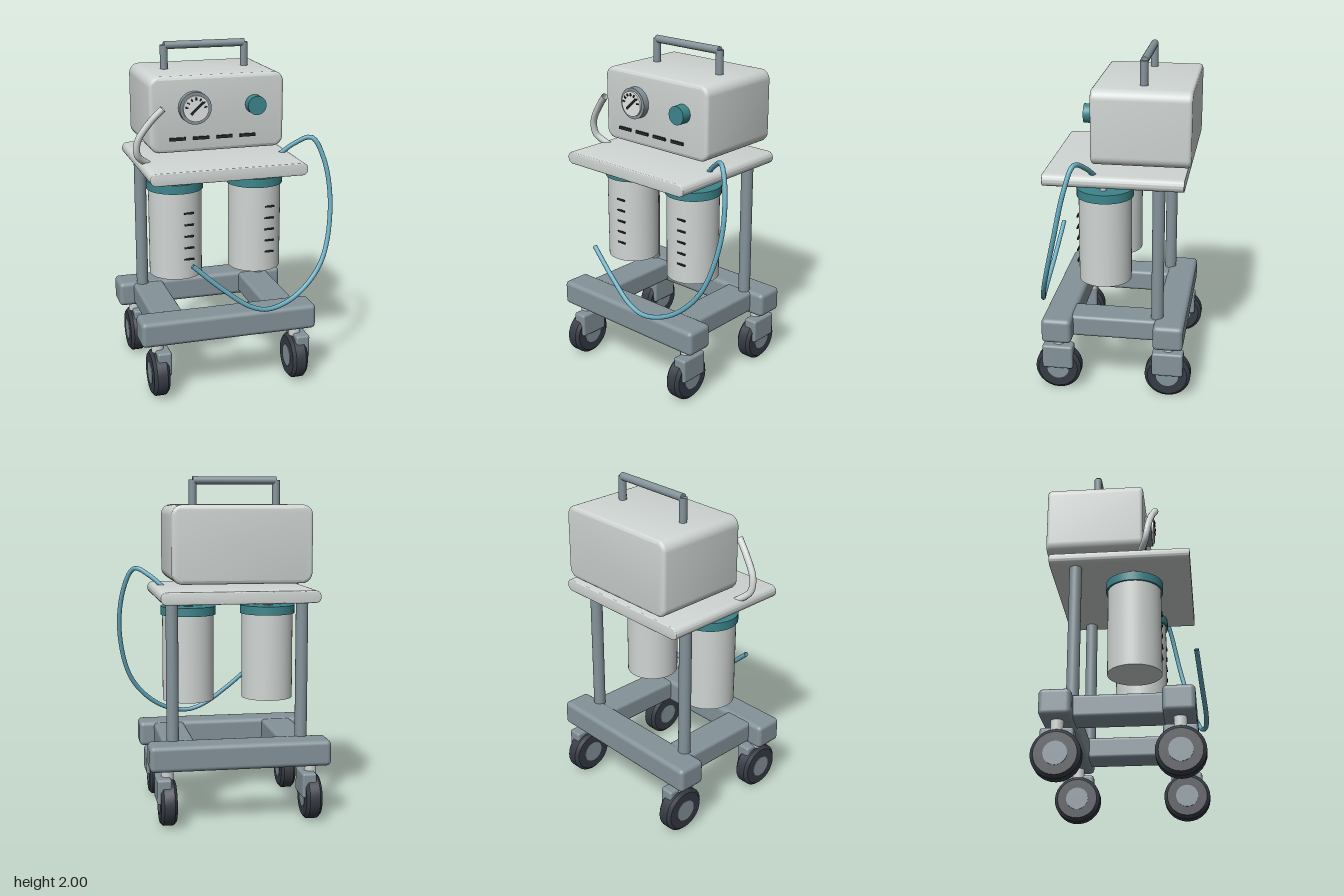
import * as THREE from 'three';
import { toCreasedNormals } from 'three/addons/utils/BufferGeometryUtils.js';
import { RoundedBoxGeometry } from 'three/addons/geometries/RoundedBoxGeometry.js';

const mat = (name, color) => {
  const m = new THREE.MeshStandardMaterial({ color });
  m.name = name;
  return m;
};

export function createModel() {
  const shell = mat('light grey shell', 0xd0d6d4);
  const frame = mat('slate frame', 0x84939a);
  const teal = mat('teal', 0x3c858b);
  const blue = mat('blue hose', 0x64a9bd);
  const rubber = mat('dark rubber', 0x363c45);
  const mark = mat('black marking', 0x22272b);
  const dial = mat('dial white', 0xe4e8e6);

  const root = new THREE.Group();
  const CX = -0.067; // the cart's own centre line

  const add = (name, geo, material, x = 0, y = 0, z = 0, parent = root) => {
    const m = new THREE.Mesh(geo, material);
    m.name = name;
    m.position.set(x, y, z);
    parent.add(m);
    return m;
  };
  const box = (w, h, d) => new THREE.BoxGeometry(w, h, d);
  const cyl = (r, h, n = 32) => new THREE.CylinderGeometry(r, r, h, n);
  const cylZ = (r, h) => cyl(r, h, 40).rotateX(Math.PI / 2);
  const tube = (pts, r, n) => new THREE.TubeGeometry(
    new THREE.CatmullRomCurve3(pts.map(p => new THREE.Vector3(...p))), n, r, 12);

  // Rounded rectangle in x/y, extruded along z with softened front and back edges
  const slab = (w, h, d, r, b) => {
    const x = w / 2 - b, y = h / 2 - b, q = r - b, s = new THREE.Shape();
    s.absarc(x - q, y - q, q, 0, Math.PI / 2);
    s.absarc(-x + q, y - q, q, Math.PI / 2, Math.PI);
    s.absarc(-x + q, -y + q, q, Math.PI, Math.PI * 1.5);
    s.absarc(x - q, -y + q, q, Math.PI * 1.5, Math.PI * 2);
    s.closePath();
    const g = new THREE.ExtrudeGeometry(s, {
      depth: d - 2 * b, bevelEnabled: true, bevelSize: b, bevelThickness: b,
      bevelSegments: 3, curveSegments: 6,
    });
    g.translate(0, 0, -d / 2 + b);
    return toCreasedNormals(g, 0.6);
  };

  // Pump housing and shelf
  add('pumpHousing', slab(0.8, 0.44, 0.57, 0.06, 0.02), shell, CX, 1.62, -0.155);
  add('shelf', slab(0.92, 0.072, 0.81, 0.034, 0.006), shell, CX, 1.32, -0.005);

  // Carry handle
  for (const x of [-0.312, 0.178]) {
    add('handlePost', cyl(0.023, 0.16, 20), frame, x, 1.9, -0.155);
  }
  add('handleBar', cyl(0.023, 0.49, 20).rotateZ(Math.PI / 2), frame, CX, 1.977, -0.155);

  // Pressure gauge
  const gauge = new THREE.Group();
  gauge.name = 'gauge';
  gauge.position.set(-0.207, 1.66, 0.13);
  root.add(gauge);
  add('gaugeCase', cylZ(0.093, 0.04), frame, 0, 0, 0.02, gauge);
  add('gaugeDial', cylZ(0.075, 0.014), dial, 0, 0, 0.045, gauge);
  add('needle', box(0.1, 0.013, 0.006), mark, 0.005, 0.002, 0.056, gauge).rotation.z = 0.75;
  for (let i = 0; i < 7; i++) {
    const a = Math.PI * (0.05 + 0.15 * i);
    const t = add('gaugeTick', box(0.016, 0.008, 0.006), mark,
      Math.cos(a) * 0.056, Math.sin(a) * 0.056, 0.055, gauge);
    t.rotation.z = a;
  }

  // Control knob and vent slots
  add('knob', cylZ(0.055, 0.06), teal, 0.153, 1.66, 0.16);
  for (const x of [-0.305, -0.167, -0.028, 0.111]) {
    add('ventSlot', box(0.095, 0.018, 0.009), mark, x, 1.48, 0.1345);
  }

  // Undercarriage: cross bars, side rails and rear posts
  for (const z of [0.322, -0.338]) {
    add('crossBar', new RoundedBoxGeometry(1.06, 0.152, 0.178, 3, 0.027), frame, CX, 0.406, z);
  }
  for (const s of [-1, 1]) {
    add('sideRail', new RoundedBoxGeometry(0.19, 0.13, 0.6, 3, 0.02), frame, CX + s * 0.345, 0.41, -0.008);
    add('post', cyl(0.036, 0.85, 24), frame, CX + s * 0.382, 0.875, -0.262);
  }

  // Casters: chamfered tyre, hub, side bracket and swivel stem
  const tyreProfile = [[0.06, -0.047], [0.118, -0.047], [0.137, -0.03],
    [0.137, 0.03], [0.118, 0.047], [0.06, 0.047]].map(p => new THREE.Vector2(...p));
  const tyre = toCreasedNormals(new THREE.LatheGeometry(tyreProfile, 28), 0.5).rotateZ(Math.PI / 2);
  for (const s of [-1, 1]) {
    for (const z of [0.325, -0.335]) {
      const caster = new THREE.Group();
      caster.name = 'caster';
      caster.position.set(CX + s * 0.424, 0.137, z);
      root.add(caster);
      add('tyre', tyre, rubber, 0, 0, 0, caster);
      add('hub', cyl(0.066, 0.1, 28).rotateZ(Math.PI / 2), frame, 0, 0, 0, caster);
      add('bracket', new RoundedBoxGeometry(0.085, 0.147, 0.185, 2, 0.014), frame, 0.024, 0.08, 0, caster);
      add('stem', cyl(0.036, 0.08, 20), shell, 0, 0.175, 0, caster);
    }
  }

  // Collection canisters hanging below the shelf
  for (const x of [-0.312, 0.178]) {
    const can = new THREE.Group();
    can.name = 'canister';
    can.position.set(x, 0, 0.068);
    root.add(can);
    add('jar', cyl(0.156, 0.525, 48), shell, 0, 0.9225, 0, can);
    add('lid', cyl(0.167, 0.052, 48), teal, 0, 1.207, 0, can);
    for (const s of [-1, 1]) {
      add('port', cyl(0.018, 0.06, 16), shell, s * 0.068, 1.257, 0, can);
    }
    add('nozzle', tube([[0, 1.225, 0], [0, 1.245, -0.035], [0, 1.285, -0.09]], 0.03, 8), frame, 0, 0, 0, can);
    for (let i = 0; i < 5; i++) {
      add('levelMark', box(0.058, 0.01, 0.009), mark, 0.045, 1.06 - i * 0.07, 0.154, can);
    }
  }

  // Short grey pipe beside the housing
  add('sidePipe', tube([[-0.405, 1.675, 0.2], [-0.475, 1.6, 0.182], [-0.545, 1.49, 0.165],
    [-0.545, 1.405, 0.15], [-0.475, 1.34, 0.11]], 0.02, 32), shell).material.side = THREE.DoubleSide;

  // Long suction hose looping round the front
  blue.side = THREE.DoubleSide;
  add('suctionHose', tube([[-0.3, 0.81, 0.418], [-0.125, 0.655, 0.44], [0.035, 0.54, 0.457],
    [0.15, 0.51, 0.453], [0.33, 0.565, 0.42], [0.5, 0.74, 0.37], [0.578, 1.05, 0.295],
    [0.553, 1.33, 0.235], [0.49, 1.453, 0.192], [0.4, 1.41, 0.14], [0.325, 1.345, 0.105]], 0.014, 80), blue);

  return root;
}
